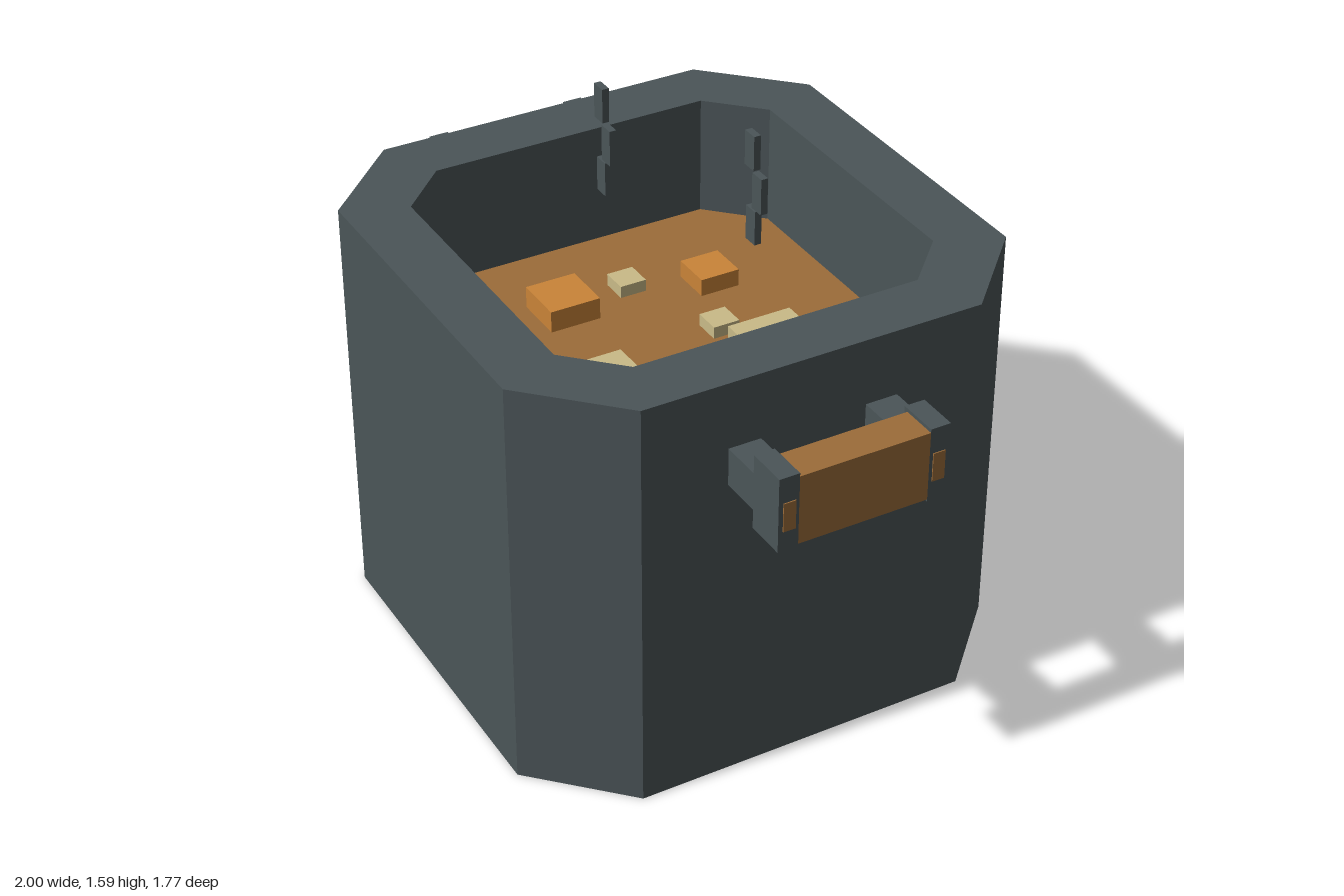
import * as THREE from 'three';

const mat = (name, color) => {
  const m = new THREE.MeshStandardMaterial({ color });
  m.name = name;
  return m;
};

export function createModel() {
  const iron = mat('dark iron', 0x4b5558);
  const wood = mat('brown wood and broth', 0x9c6c39);
  const orange = mat('orange vegetable', 0xca8438);
  const cream = mat('cream vegetable', 0xcabb88);

  const model = new THREE.Group();
  model.name = 'cookingPot';
  const pot = new THREE.Group();
  pot.name = 'turnedPot';
  pot.rotation.y = -THREE.MathUtils.degToRad(25);
  model.add(pot);

  // Square with cut corners: h = half width, e = half length of the straight edge
  const corners = (h, e) => [[h, e], [e, h], [-e, h], [-h, e], [-h, -e], [-e, -h], [e, -h], [h, -e]]
    .map(([x, y]) => new THREE.Vector2(x, y));

  const prism = (name, shape, y0, y1, material) => {
    const g = new THREE.ExtrudeGeometry(shape, { depth: y1 - y0, bevelEnabled: false });
    g.rotateX(-Math.PI / 2).translate(0, y0, 0);
    const mesh = new THREE.Mesh(g, material);
    mesh.name = name;
    pot.add(mesh);
  };

  // Box given by its [min, max] along each axis
  const box = (parent, name, [x0, x1], [y0, y1], [z0, z1], material) => {
    const mesh = new THREE.Mesh(new THREE.BoxGeometry(x1 - x0, y1 - y0, z1 - z0), material);
    mesh.position.set((x0 + x1) / 2, (y0 + y1) / 2, (z0 + z1) / 2);
    mesh.name = name;
    parent.add(mesh);
    return mesh;
  };

  // Pot wall, floor and broth
  const wall = new THREE.Shape(corners(0.745, 0.497));
  wall.holes.push(new THREE.Path(corners(0.565, 0.42).reverse()));
  prism('potWall', wall, 0, 1.24, iron);
  const inside = new THREE.Shape(corners(0.565, 0.42));
  prism('potFloor', inside, 0, 0.25, iron);
  prism('broth', inside, 0.84, 0.88, wood);

  // Handles on two opposite sides
  for (const turn of [0, Math.PI]) {
    const handle = new THREE.Group();
    handle.name = turn ? 'rightHandle' : 'leftHandle';
    handle.rotation.y = turn;
    box(handle, 'grip', [0.88, 0.987], [0.887, 1.09], [-0.19, 0.19], wood);
    for (const s of [-1, 1]) {
      const span = (a, b) => (s > 0 ? [a, b] : [-b, -a]);
      box(handle, 'handleArm', [0.735, 0.867], [0.935, 1.045], span(0.155, 0.249), iron);
      box(handle, 'handleBracket', [0.867, 0.987], [0.88, 1.1], span(0.19, 0.249), iron);
      box(handle, 'gripPeg', [0.984, 0.99], [0.94, 1.025], span(0.2, 0.236), wood);
    }
    pot.add(handle);
  }

  // Places a box by its centre in the unturned frame, aligned with the pot
  const turned = (name, x, z, w, d, y0, y1, material) => {
    const m = box(model, name, [-w / 2, w / 2], [y0, y1], [-d / 2, d / 2], material);
    m.position.x = x;
    m.position.z = z;
    m.rotation.y = pot.rotation.y;
  };

  // Floating vegetables: x, z, size, height above the broth
  for (const [x, z, s, h, m] of [
    [-0.08, -0.305, 0.12, 0.052, orange], [-0.313, 0.07, 0.152, 0.065, orange],
    [-0.248, -0.138, 0.08, 0.036, cream], [0.085, -0.117, 0.08, 0.036, cream],
    [0.297, -0.085, 0.194, 0.078, cream], [0.275, 0.192, 0.075, 0.036, cream],
    [0.014, 0.288, 0.135, 0.057, cream],
  ]) turned('vegetableChunk', x, z, s, s, 0.865, 0.88 + h, m);

  // Two columns of stepped steam
  for (const [x, z] of [[-0.216, 0.008], [0.255, -0.013]]) {
    for (const [shift, y0, y1] of [[0.01, 1.275, 1.375], [0.037, 1.38, 1.485], [0, 1.492, 1.592]]) {
      turned('steamPuff', x + shift * 0.96, z + shift * 0.45, 0.046, 0.02, y0, y1, iron);
    }
  }

  return model;
}
